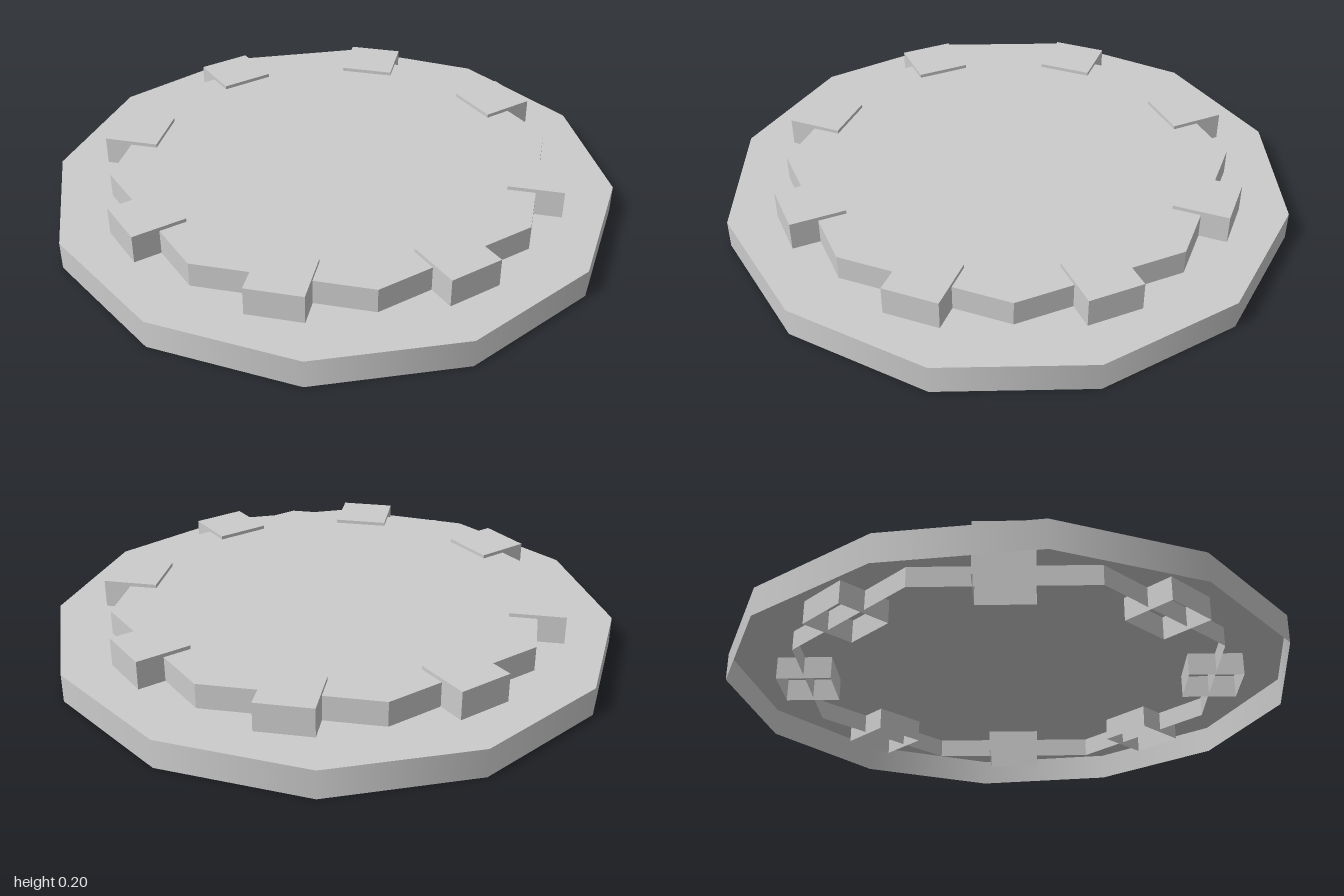
import * as THREE from 'three';

const smooth = new THREE.MeshStandardMaterial({ color: 0xcccccc, side: THREE.DoubleSide });
const flat = new THREE.MeshStandardMaterial({ color: 0xcccccc, side: THREE.DoubleSide, flatShading: true });

// Hollow prism: wall and lid, open underneath
function shell(name, radius, sides, bottom, top, material) {
  const group = new THREE.Group();
  group.name = name;
  const height = top - bottom;
  const wall = new THREE.Mesh(new THREE.CylinderGeometry(radius, radius, height, sides, 1, true), material);
  wall.name = name + 'Wall';
  wall.position.y = bottom + height / 2;
  const lid = new THREE.Mesh(new THREE.CircleGeometry(radius, sides).rotateX(-Math.PI / 2), material);
  lid.name = name + 'Lid';
  lid.position.y = top;
  group.add(wall, lid);
  return group;
}

export function createModel() {
  const model = new THREE.Group();
  model.name = 'steppedPlatform';

  // Twelve-sided base and raised octagonal deck
  model.add(shell('base', 1, 12, 0, 0.1, smooth));
  model.add(shell('deck', 0.787, 8, 0.03, 0.187, flat));

  // One square block on the middle of each octagon side
  for (let i = 0; i < 8; i++) {
    const angle = (i + 0.5) * Math.PI / 4;
    const block = shell('block', 0.097 * Math.SQRT2, 4, 0.018, 0.2, flat);
    block.position.set(0.727 * Math.sin(angle), 0, 0.727 * Math.cos(angle));
    block.rotation.y = angle + Math.PI / 4;
    model.add(block);
  }
  return model;
}
